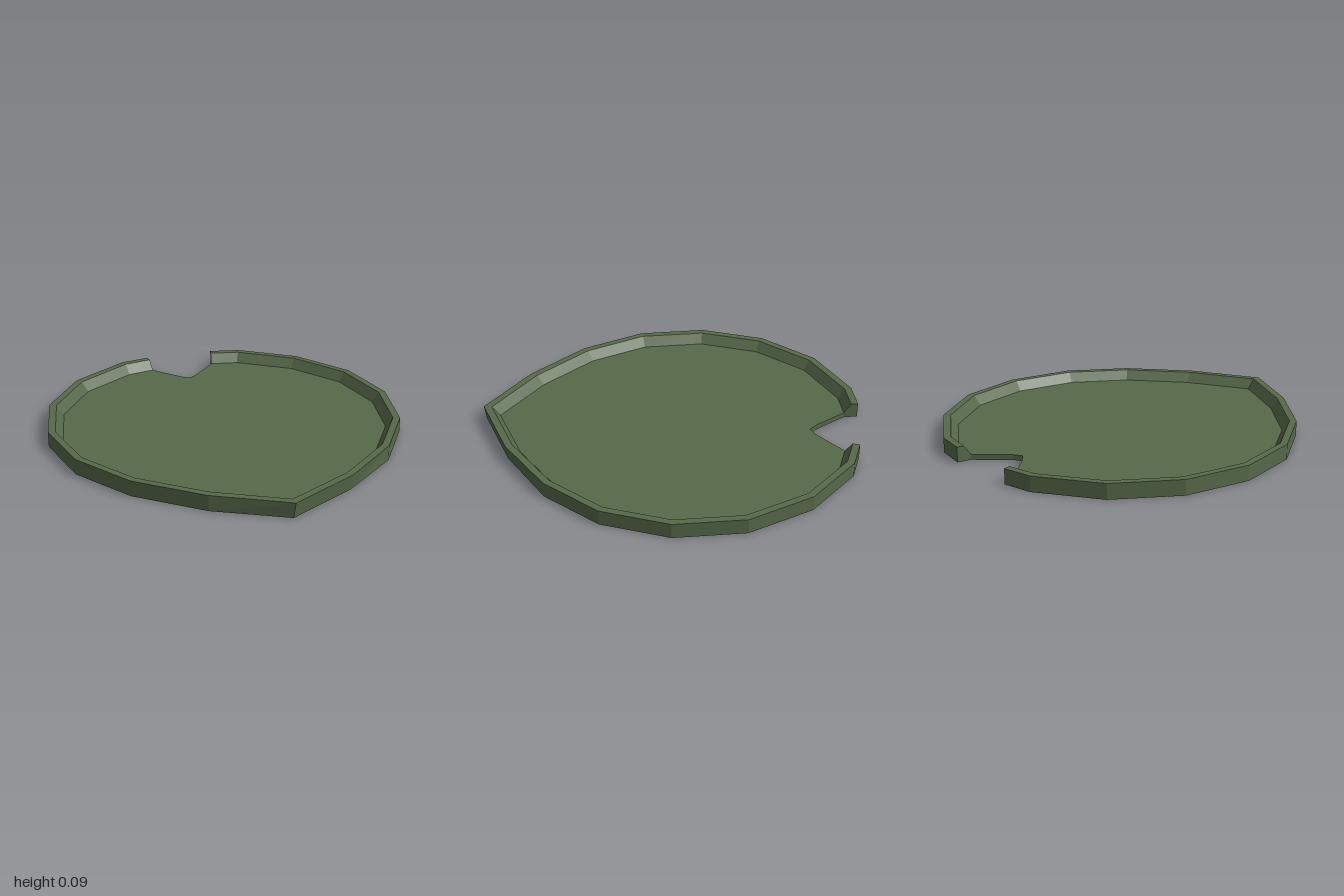
import * as THREE from 'three';

const RIM = 0.085, FLOOR = 0.03;

// Outer edge (x, z): from one side of the notch, round the front, to the other side
const outline = [
  [-0.94, -0.33], [-1, -0.17], [-0.99, 0.22], [-0.83, 0.575], [-0.55, 0.835], [-0.19, 0.97],
  [0.2, 0.96], [0.6, 0.825], [0.97, 0.61], [1, 0.18], [0.94, -0.23], [0.78, -0.575],
  [0.5, -0.84], [0.14, -0.98], [-0.25, -0.965], [-0.6, -0.81], [-0.72, -0.68],
];
// Inner corners of the bite in the leaf
const notch = [[-0.605, -0.41], [-0.605, -0.36], [-0.655, -0.34]];

const scaled = (s) => outline.map(([x, z]) => [x * s, z * s]);
const atHeight = (points, y) => points.map(([x, z]) => [x, y, z]);

function quad(out, a, b, c, d) {
  out.push(...a, ...b, ...c, ...a, ...c, ...d);
}

// Faces between two matching rows of points
function strip(out, low, high) {
  for (let i = 0; i < low.length - 1; i++) quad(out, low[i], low[i + 1], high[i + 1], high[i]);
}

function fromTriangles(positions) {
  const geometry = new THREE.BufferGeometry();
  geometry.setAttribute('position', new THREE.Float32BufferAttribute(positions, 3));
  geometry.computeVertexNormals();
  return geometry;
}

// Flat sheet facing up (side = 1) or down (side = -1)
function sheet(points, y, side) {
  const shape = new THREE.Shape(points.map(([x, z]) => new THREE.Vector2(x, -side * z)));
  return new THREE.ShapeGeometry(shape).rotateX(-side * Math.PI / 2).translate(0, y, 0);
}

export function createModel() {
  const group = new THREE.Group();
  group.name = 'lilyPad';
  const material = new THREE.MeshStandardMaterial({ color: 0x566849, flatShading: true });
  const add = (name, geometry) => {
    const mesh = new THREE.Mesh(geometry, material);
    mesh.name = name;
    group.add(mesh);
  };

  const foot = outline.map(([x, z]) => [x > 0.96 ? x - 0.012 : x, z]);
  const floorEdge = scaled(0.92);
  const first = floorEdge[0], last = floorEdge[floorEdge.length - 1];

  // Raised rim: outer wall, flat top, sloping inner wall
  const rows = [
    atHeight(foot, 0), atHeight(outline, RIM),
    atHeight(scaled(0.96), RIM), atHeight(floorEdge, FLOOR),
  ];
  const rim = [];
  for (let i = 0; i < rows.length - 1; i++) strip(rim, rows[i], rows[i + 1]);

  // Caps where the rim stops at the notch
  for (const end of [0, outline.length - 1]) {
    const section = rows.map((row) => row[end]);
    const [x, , z] = section[3];
    const inner = [x, 0, z];
    for (let i = 0; i < 3; i++) {
      const [a, b] = end === 0 ? [section[i], section[i + 1]] : [section[i + 1], section[i]];
      rim.push(...inner, ...a, ...b);
    }
  }
  add('rim', fromTriangles(rim));

  // Leaf surface, underside and the cut edge joining them
  add('leafSurface', sheet([...floorEdge, ...notch], FLOOR, 1));
  add('underside', sheet([...foot, last, ...notch, first], 0, -1));
  const cut = [last, ...notch, first];
  const edge = [];
  strip(edge, atHeight(cut, 0), atHeight(cut, FLOOR));
  add('notchEdge', fromTriangles(edge));

  return group;
}
